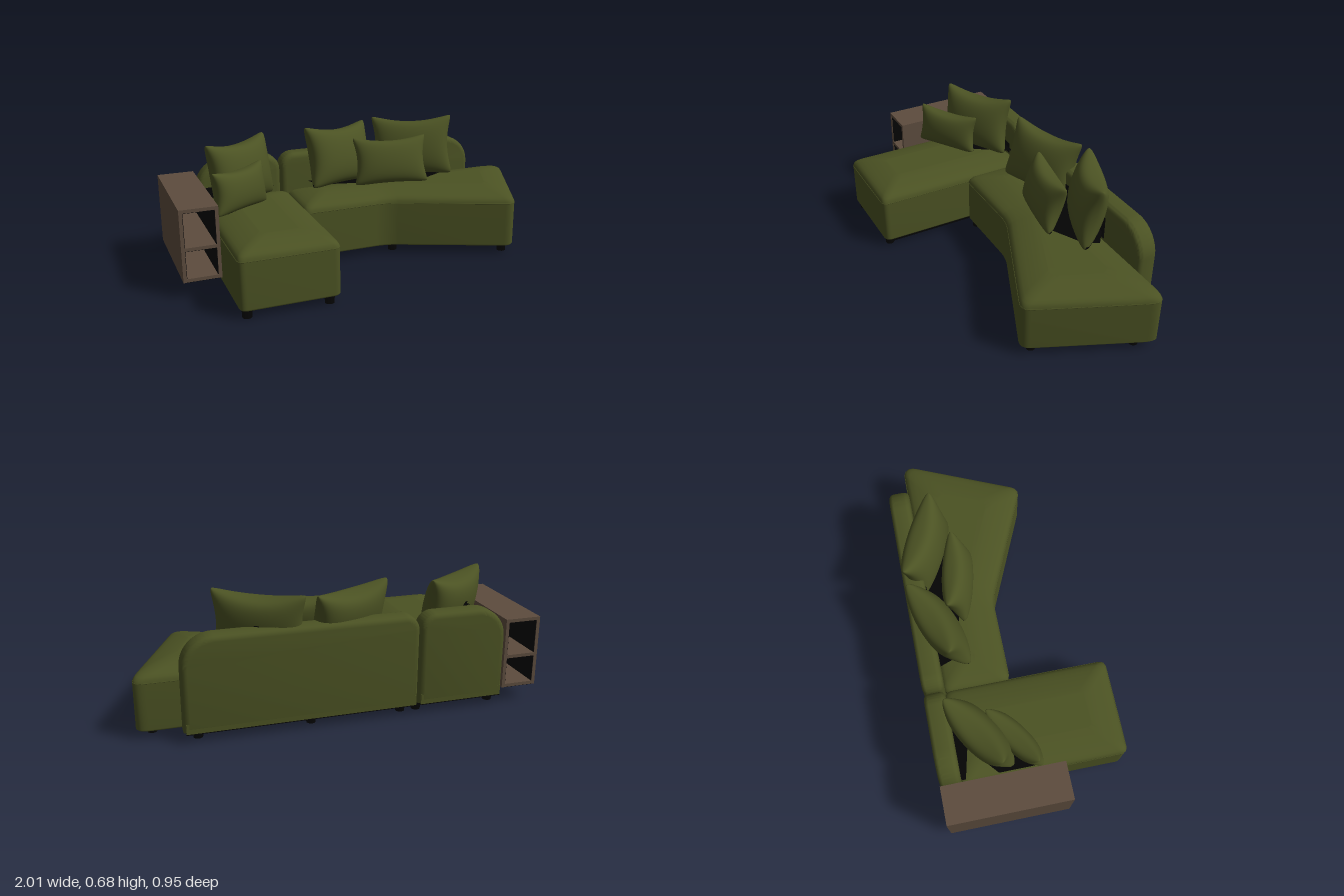
import * as THREE from 'three';
import { mergeGeometries, mergeVertices, toCreasedNormals } from 'three/addons/utils/BufferGeometryUtils.js';

const material = (name, color) => Object.assign(new THREE.MeshStandardMaterial({ color }), { name });

export function createModel() {
  const model = new THREE.Group();
  model.name = 'sectionalSofa';
  const fabric = material('olive fabric', 0x4b5223);
  const wood = material('brown wood', 0x5d4c3e);
  const black = material('black', 0x040404);

  const add = (parent, name, geometry, mat, x = 0, y = 0, z = 0) => {
    const mesh = new THREE.Mesh(geometry, mat);
    mesh.name = name;
    mesh.position.set(x, y, z);
    parent.add(mesh);
    return mesh;
  };
  const group = (name) => {
    const g = new THREE.Group();
    g.name = name;
    model.add(g);
    return g;
  };

  // Rounded outline of [x, z, radius] corners, moved inwards by inset
  const outline = (corners, inset = 0) => {
    const n = corners.length;
    const c = corners.map(([x, z]) => new THREE.Vector2(x, z));
    const inward = (i) => {
      const d = c[(i + 1) % n].clone().sub(c[i % n]).normalize();
      return new THREE.Vector2(d.y, -d.x);
    };
    const moved = c.map((p, i) => {
      const a = inward(i + n - 1), b = inward(i);
      return p.clone().addScaledVector(a.clone().add(b), inset / (1 + a.dot(b)));
    });
    return moved.flatMap((p, i) => {
      const r = corners[i][2];
      const before = moved[(i + n - 1) % n].clone().sub(p).setLength(r).add(p);
      const after = moved[(i + 1) % n].clone().sub(p).setLength(r).add(p);
      return new THREE.QuadraticBezierCurve(before, p, after).getPoints(8);
    });
  };

  // Surface through stacked outlines; levels are [inset, y]
  const loft = (corners, levels, capTop) => {
    const rings = levels.map(([inset]) => outline(corners, inset));
    const n = rings[0].length, pos = [], index = [];
    rings.forEach((ring, k) => ring.forEach((p) => pos.push(p.x, levels[k][1], p.y)));
    for (let k = 0; k < rings.length - 1; k++)
      for (let j = 0; j < n; j++) {
        const a = k * n + j, b = k * n + (j + 1) % n;
        index.push(a, b, a + n, b, b + n, a + n);
      }
    if (capTop) {
      const last = rings.length - 1;
      const flat = rings[last].map((p) => new THREE.Vector2(p.x, -p.y));
      THREE.ShapeUtils.triangulateShape(flat, []).forEach((f) => index.push(...f.map((i) => i + last * n)));
    }
    const g = new THREE.BufferGeometry();
    g.setAttribute('position', new THREE.Float32BufferAttribute(pos, 3));
    g.setIndex(index);
    g.computeVertexNormals();
    return g;
  };

  // Upholstered seat: skirt, piping, domed top, black underside and black panel beneath the cushions
  const seat = (name, corners, panel) => {
    const g = group(name);
    add(g, 'seatSkirt', loft(corners, [[0.006, 0.043], [0, 0.052], [0, 0.283]]), fabric);
    const dome = [[0, 0.283], [0.003, 0.297], [0.011, 0.309], [0.025, 0.319], [0.05, 0.329], [0.085, 0.339], [0.12, 0.347], [0.15, 0.351]];
    add(g, 'seatTop', loft(corners, dome, true), fabric);
    const path = new THREE.CatmullRomCurve3(outline(corners).map((p) => new THREE.Vector3(p.x, 0.284, p.y)), true, 'centripetal');
    add(g, 'seatPiping', new THREE.TubeGeometry(path, 160, 0.002, 6, true), fabric);
    const under = new THREE.ShapeGeometry(new THREE.Shape(outline(corners, 0.006)));
    add(g, 'seatUnderside', under.rotateX(Math.PI / 2), black, 0, 0.043, 0);
    const top = new THREE.ShapeGeometry(new THREE.Shape(panel.map(([x, z]) => new THREE.Vector2(x, -z))));
    add(g, 'underCushionPanel', top.rotateX(-Math.PI / 2), black, 0, 0.3525, 0);
  };

  seat('chaiseSeat',
    [[-0.808, -0.375, 0.04], [-0.808, 0.474, 0.035], [-0.32, 0.474, 0.035], [-0.32, -0.375, 0.04]],
    [[-0.79, -0.367], [-0.79, -0.345], [-0.64, -0.31], [-0.79, -0.18], [-0.79, 0.0], [-0.74, 0.01],
      [-0.56, -0.12], [-0.46, -0.28], [-0.4, -0.367]]);
  seat('angledSeat',
    [[-0.328, -0.375, 0.04], [-0.328, -0.03, 0.04], [0.13, -0.03, 0.06], [0.758, 0.247, 0.05], [1.032, -0.374, 0.08]],
    [[-0.2, -0.367], [-0.17, -0.28], [0.03, -0.23], [0.38, -0.15], [0.54, -0.23], [0.58, -0.3], [0.5, -0.367]]);

  // Backrests: rounded slabs with one large top corner, black below and behind the cushions
  const backrest = (name, x0, x1, leftR, rightR, panelX0, panelX1, panelH) => {
    const b = 0.028, y0 = 0.05 + b, y1 = 0.517 - b;
    const l = x0 + b, r = x1 - b, mid = (x0 + x1) / 2;
    const s = new THREE.Shape();
    s.moveTo(l, y0);
    s.lineTo(r, y0);
    s.absarc(r - rightR, y1 - rightR, rightR, 0, Math.PI / 2, false);
    s.absarc(l + leftR, y1 - leftR, leftR, Math.PI / 2, Math.PI, false);
    s.closePath();
    const geo = new THREE.ExtrudeGeometry(s, { depth: 0.108 - 2 * b, bevelThickness: b, bevelSize: b, bevelSegments: 5, curveSegments: 14 });
    const g = group(name);
    add(g, 'backrestPad', toCreasedNormals(geo, 0.7), fabric, 0, 0, -0.475 + b);
    add(g, 'backrestBase', new THREE.BoxGeometry(x1 - x0 - 0.02, 0.05, 0.107), fabric, mid, 0.076, -0.421);
    add(g, 'backrestUnderside', new THREE.BoxGeometry(x1 - x0 - 0.02, 0.004, 0.107), black, mid, 0.049, -0.421);
    add(g, 'behindCushionPanel', new THREE.BoxGeometry(panelX1 - panelX0, panelH, 0.004), black, (panelX0 + panelX1) / 2, 0.32 + panelH / 2, -0.366);
  };
  backrest('chaiseBackrest', -0.812, -0.358, 0.13, 0.05, -0.78, -0.44, 0.06);
  backrest('mainBackrest', -0.352, 0.802, 0.05, 0.13, -0.15, 0.52, 0.12);

  // Cushions: two puffed sheets with pulled-in edges and blunt corners; the low middle of the back is black
  const cushionGeometry = (w, h, depth) => {
    const front = new THREE.PlaneGeometry(2, 2, 36, 36);
    front.deleteAttribute('uv');
    front.deleteAttribute('normal');
    const p = front.attributes.position;
    for (let i = 0; i < p.count; i++) {
      // denser rows near the rim
      const u = Math.sin(p.getX(i) * Math.PI / 2), v = Math.sin(p.getY(i) * Math.PI / 2);
      const a = Math.max(0, 1 - u * u), c = Math.max(0, 1 - v * v);
      const blunt = 1 - 0.06 * Math.pow(u * v, 8);
      const sag = v > 0 ? 0.23 : 0.08;
      p.setXYZ(i, u * w / 2 * blunt * (1 - 0.13 * c * u * u), v * h / 2 * blunt * (1 - sag * a * v * v),
        depth / 2 * Math.pow(a * c, 0.42));
    }
    const geo = mergeVertices(mergeGeometries([front, front.clone().rotateY(Math.PI)]), 1e-5);
    geo.computeVertexNormals();
    const q = geo.attributes.position, faces = [[], []];
    for (let i = 0; i < geo.index.count; i += 3) {
      const f = [0, 1, 2].map((k) => geo.index.getX(i + k));
      const mean = (get) => f.reduce((sum, k) => sum + q[get](k), 0) / 3;
      const low = mean('getY') / h * 2 + 1.1 * Math.abs(mean('getX') / w * 2) < 0.2;
      faces[mean('getZ') < 0 && low ? 1 : 0].push(...f);
    }
    geo.setIndex(faces.flat());
    geo.addGroup(0, faces[0].length, 0);
    geo.addGroup(faces[0].length, faces[1].length, 1);
    return geo;
  };
  // [name, x, y, z, width, height, depth, turn, lean, roll]
  [
    ['chaiseLargeCushion', -0.61, 0.5, -0.24, 0.43, 0.34, 0.18, 0.56, -0.2, -0.02],
    ['chaiseSmallCushion', -0.655, 0.455, -0.075, 0.37, 0.225, 0.13, 0.6, -0.15, -0.03],
    ['mainLeftCushion', -0.03, 0.503, -0.335, 0.44, 0.345, 0.18, 0.37, -0.28, -0.05],
    ['mainRightCushion', 0.41, 0.51, -0.328, 0.47, 0.345, 0.17, -0.46, -0.2, 0.04],
    ['lumbarCushion', 0.22, 0.475, -0.195, 0.42, 0.27, 0.14, -0.22, -0.3, 0.02],
  ].forEach(([name, x, y, z, w, h, d, turn, lean, roll]) => {
    add(model, name, cushionGeometry(w, h, d), [fabric, black], x, y, z).rotation.set(lean, turn, roll, 'YXZ');
  });

  // Side shelf, open at front and back, with black inner walls and undersides
  const shelf = group('sideShelf');
  const board = (name, w, h, x, y, mat = wood) => add(shelf, name, new THREE.BoxGeometry(w, h, mat === wood ? 0.616 : 0.61), mat, x, y, -0.164);
  [['shelfBottom', 0.0935], ['shelfMiddle', 0.25], ['shelfTop', 0.4405]].forEach(([name, y]) => {
    board(name, 0.187, 0.017, -0.9065, y);
    board(name + 'Underside', y < 0.1 ? 0.184 : 0.15, 0.003, -0.9065, y - 0.0095, black);
  });
  [['shelfOuterSide', -0.9915, 1], ['shelfInnerSide', -0.8215, -1]].forEach(([name, x, inward]) => {
    board(name, 0.017, 0.365, x, 0.2665);
    board(name + 'Lining', 0.003, 0.33, x + inward * 0.0095, 0.267, black);
  });

  // Legs
  [
    [-0.77, 0.435], [-0.37, 0.435], [-0.77, -0.4], [-0.37, -0.4],
    [-0.285, -0.07], [-0.285, -0.4], [0.18, -0.07], [0.18, -0.4],
    [0.73, 0.17], [0.93, -0.28], [0.73, -0.4],
  ].forEach(([x, z]) => add(model, 'leg', new THREE.CylinderGeometry(0.025, 0.023, 0.046, 16), black, x, 0.023, z));

  // Support rails under the chaise
  add(model, 'sideRail', new THREE.BoxGeometry(0.03, 0.034, 0.83), black, -0.37, 0.026, 0.02);
  add(model, 'rearRail', new THREE.BoxGeometry(0.42, 0.034, 0.03), black, -0.575, 0.026, -0.38);

  return model;
}
